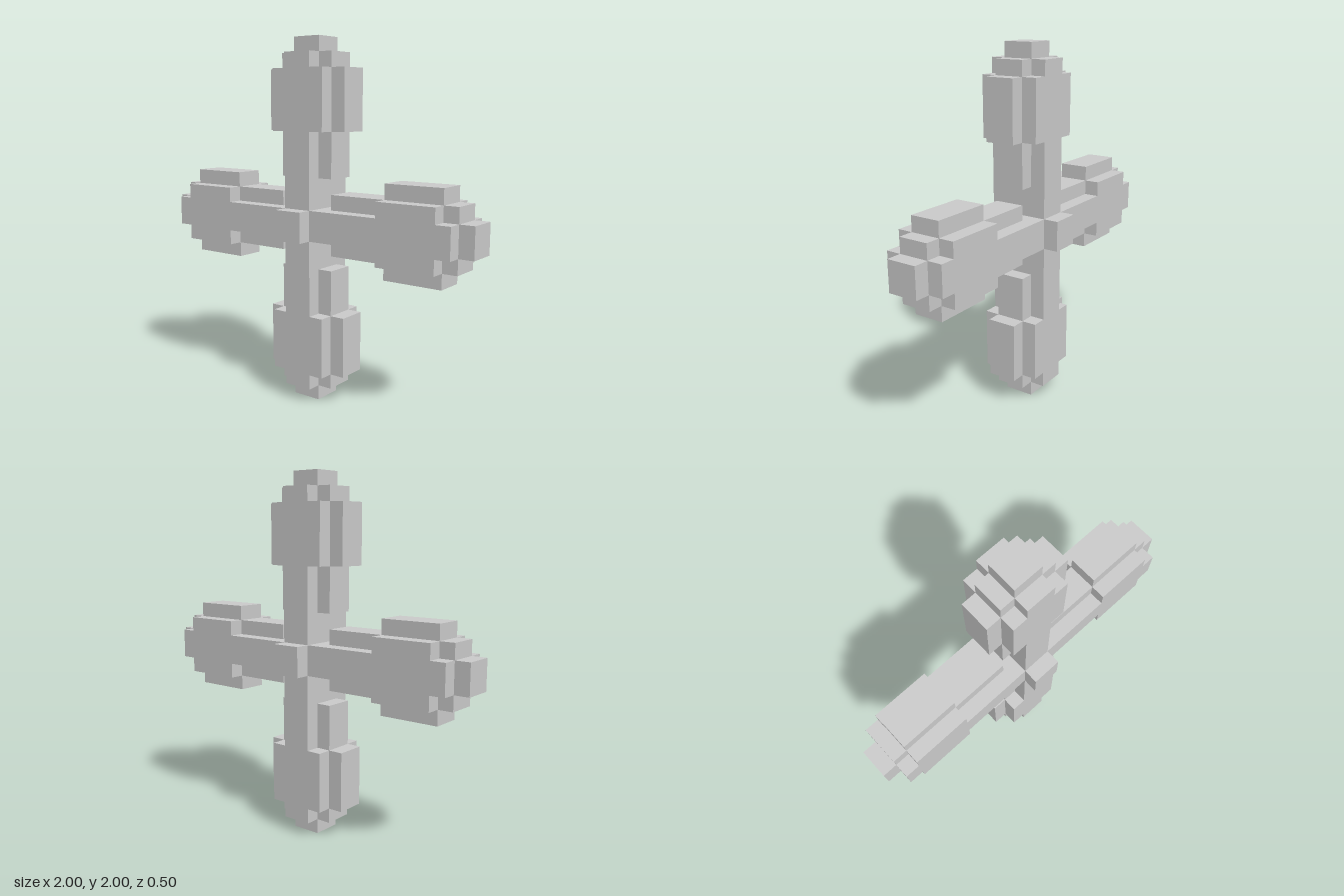
import * as THREE from 'three';

const U = 1 / 12; // block unit
const material = new THREE.MeshStandardMaterial({ color: 0xcccccc, flatShading: true });

// Box running outward from y = from to y = to, given half width and half depth (block units)
function block(name, from, to, halfWidth, halfDepth) {
  const mesh = new THREE.Mesh(
    new THREE.BoxGeometry(2 * halfWidth * U, (to - from) * U, 2 * halfDepth * U),
    material
  );
  mesh.position.y = ((from + to) / 2) * U;
  mesh.name = name;
  return mesh;
}

// One arm pointing up; ribStart is where its side ribs begin
function makeArm(name, ribStart) {
  const arm = new THREE.Group();
  arm.name = name;
  arm.add(
    block('shaft', 1, 11, 1, 2),
    block('sideRibs', ribStart, 11, 2, 1),
    block('head', 6, 10, 2, 2),
    block('headFins', 6, 10, 3, 1),
    block('tip', 11, 12, 1, 1)
  );
  return arm;
}

export function createModel() {
  const model = new THREE.Group();
  model.name = 'blockCross';

  const cross = new THREE.Group();
  cross.name = 'cross';
  cross.position.y = 1;
  model.add(cross);

  // Central hub, standing proud at front and back
  cross.add(block('hub', -1, 1, 1, 3));

  // Four arms around the hub; the horizontal pair has longer ribs
  ['topArm', 'rightArm', 'bottomArm', 'leftArm'].forEach((name, i) => {
    const arm = makeArm(name, i % 2 ? 2 : 3);
    arm.rotation.z = (i * Math.PI) / 2;
    cross.add(arm);
  });

  return model;
}
